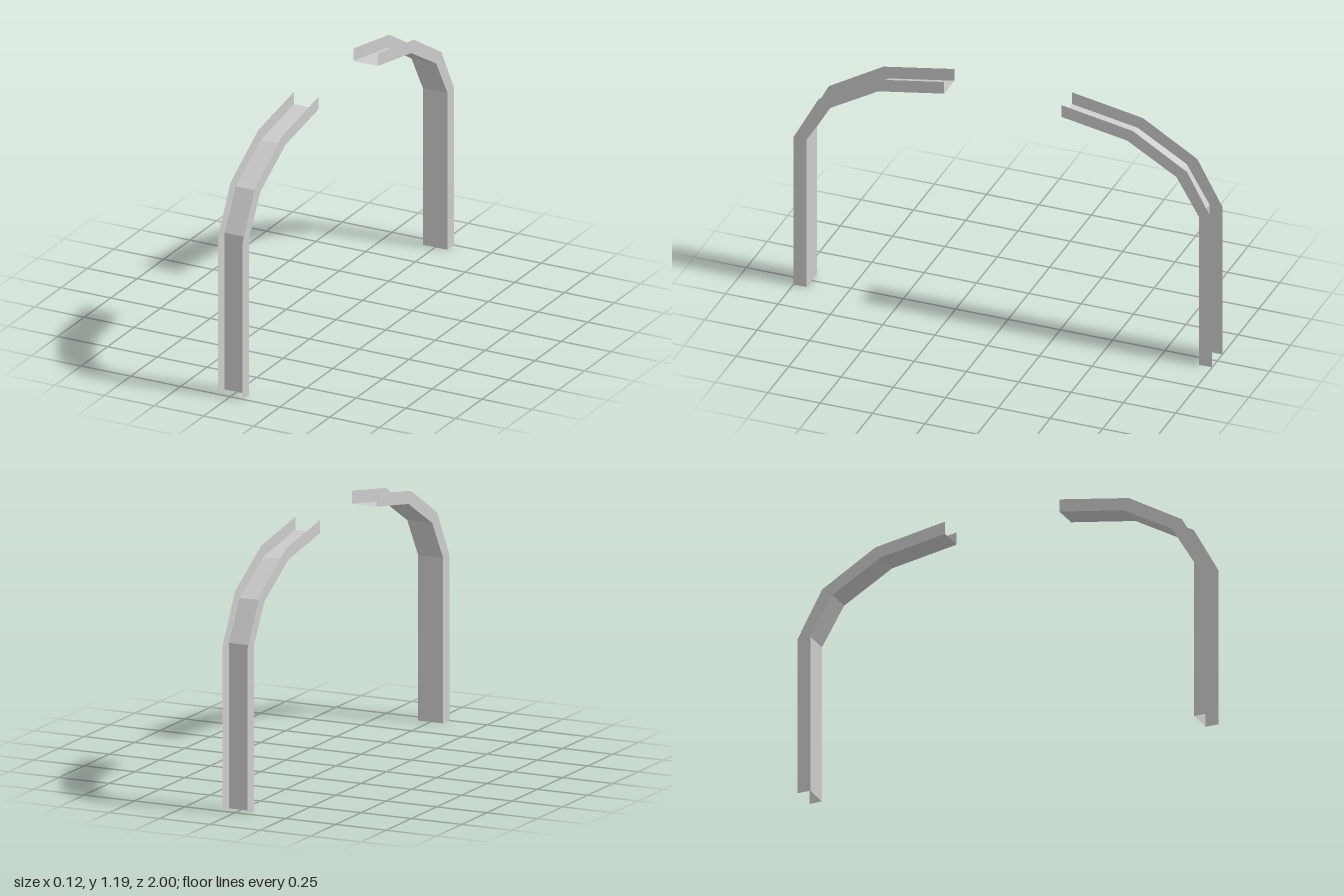
import * as THREE from 'three';

const HALF_WIDTH = 0.062;
// Stations along the rib as [z, y]: flange edge and web line
const OUTER = [[1, 0], [1, 0.755], [0.88, 0.975], [0.62, 1.13], [0.28, 1.19]];
const INNER = [[0.938, 0], [0.938, 0.755], [0.83, 0.938], [0.595, 1.075], [0.28, 1.13]];

// Thin open strip joining two rows of points with flat facets
function strip(rowA, rowB, name, material) {
  const positions = [];
  for (let i = 0; i < rowA.length - 1; i++) {
    const a = rowA[i], b = rowB[i], c = rowB[i + 1], d = rowA[i + 1];
    positions.push(...a, ...b, ...c, ...a, ...c, ...d);
  }
  const geometry = new THREE.BufferGeometry();
  geometry.setAttribute('position', new THREE.Float32BufferAttribute(positions, 3));
  geometry.computeVertexNormals();
  const mesh = new THREE.Mesh(geometry, material);
  mesh.name = name;
  return mesh;
}

const row = (profile, x) => profile.map(([z, y]) => [x, y, z]);

// U-channel rib: web on the inside of the bend, flanges pointing outward
function createRib(name, material) {
  const rib = new THREE.Group();
  rib.name = name;
  const w = HALF_WIDTH;
  rib.add(
    strip(row(INNER, -w), row(INNER, w), 'web', material),
    strip(row(INNER, w), row(OUTER, w), 'leftFlange', material),
    strip(row(OUTER, -w), row(INNER, -w), 'rightFlange', material)
  );
  return rib;
}

export function createModel() {
  const model = new THREE.Group();
  model.name = 'channelRibs';
  const material = new THREE.MeshStandardMaterial({
    color: 0xcccccc, flatShading: true, side: THREE.DoubleSide
  });
  const front = createRib('frontRib', material);
  const back = createRib('backRib', material);
  back.rotation.y = Math.PI;
  model.add(front, back);
  return model;
}
